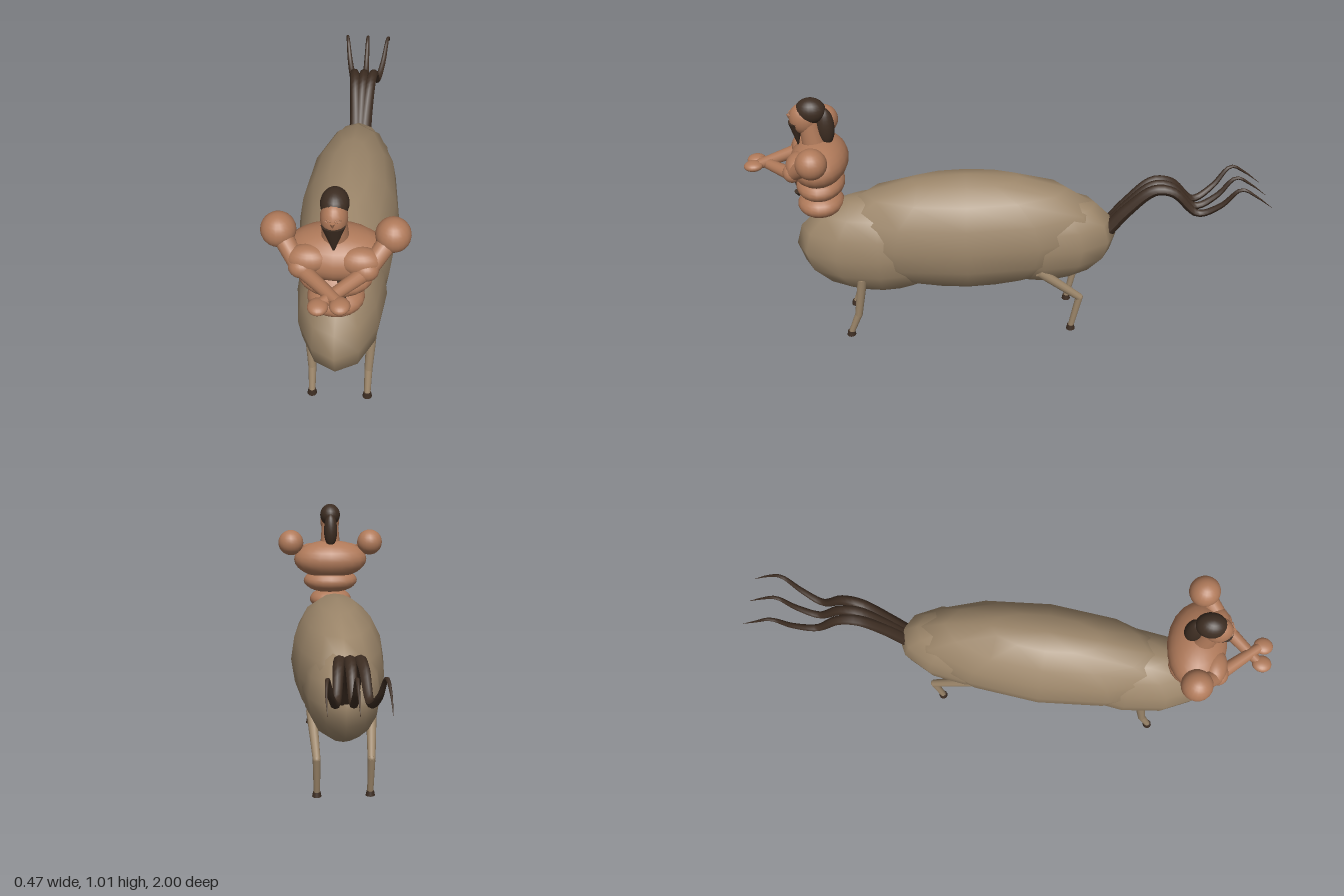
import * as THREE from 'three';

const mat = (name, color) => {
  const m = new THREE.MeshStandardMaterial({ color });
  m.name = name;
  return m;
};

export function createModel() {
  const root = new THREE.Group();
  root.name = 'centaur';
  const fur = mat('fur', 0x9c866a);
  const skin = mat('skin', 0xb07a5a);
  const dark = mat('darkHair', 0x3d2d22);
  const V = (a) => new THREE.Vector3(...a);

  const add = (name, geo, material, pos = [0, 0, 0]) => {
    const m = new THREE.Mesh(geo, material);
    m.name = name;
    m.position.set(...pos);
    root.add(m);
    return m;
  };
  const ball = (name, material, pos, size, w = 20, h = 14) =>
    add(name, new THREE.SphereGeometry(1, w, h).scale(...size), material, pos);
  // tapered rod from a to b
  const rod = (name, material, a, b, ra, rb, sides = 12) => {
    const p = V(a), q = V(b), d = q.clone().sub(p);
    const m = add(name, new THREE.CylinderGeometry(rb, ra, d.length(), sides), material);
    m.position.copy(p).add(q).multiplyScalar(0.5);
    m.quaternion.setFromUnitVectors(new THREE.Vector3(0, 1, 0), d.normalize());
    return m;
  };
  // downward pointing tuft
  const tuft = (name, pos, r, h, depth = 1, sides = 8) =>
    add(name, new THREE.ConeGeometry(r, h, sides).rotateX(Math.PI).scale(1, 1, depth), dark, pos);

  // Horse body
  ball('barrel', fur, [0, 0.435, 0.18], [0.19, 0.25, 0.56], 12, 8);
  ball('foreBody', fur, [0, 0.39, 0.52], [0.16, 0.217, 0.33], 12, 8);
  ball('hindBody', fur, [0, 0.4, -0.12], [0.152, 0.2, 0.292], 12, 8);

  // Human torso
  ball('waist', skin, [0, 0.58, 0.737], [0.095, 0.051, 0.088]);
  ball('midriff', skin, [0, 0.667, 0.73], [0.123, 0.055, 0.092]);
  ball('chest', skin, [0, 0.765, 0.725], [0.166, 0.086, 0.108]);

  for (const s of [-1, 1]) {
    // Legs
    rod('foreUpperLeg', fur, [s * 0.113, 0.285, 0.595], [s * 0.103, 0.1, 0.625], 0.019, 0.015);
    rod('foreLowerLeg', fur, [s * 0.103, 0.105, 0.624], [s * 0.102, 0.015, 0.66], 0.015, 0.012);
    add('foreHoof', new THREE.CylinderGeometry(0.014, 0.018, 0.02, 12), dark, [s * 0.102, 0.01, 0.662]);
    rod('hindThigh', fur, [s * 0.116, 0.3, -0.1], [s * 0.103, 0.16, -0.265], 0.021, 0.015);
    ball('hock', fur, [s * 0.103, 0.16, -0.265], [0.015, 0.015, 0.015], 12, 8);
    rod('hindLowerLeg', fur, [s * 0.103, 0.16, -0.265], [s * 0.102, 0.015, -0.235], 0.015, 0.012);
    add('hindHoof', new THREE.CylinderGeometry(0.014, 0.018, 0.02, 12), dark, [s * 0.102, 0.01, -0.234]);

    // Pectorals, shoulders and crossed arms
    ball('pectoral', skin, [s * 0.08, 0.785, 0.79], [0.07, 0.046, 0.046]);
    ball('shoulder', skin, [s * 0.18, 0.842, 0.725], [0.057, 0.057, 0.057]);
    rod('upperArm', skin, [s * 0.17, 0.83, 0.735], [s * 0.105, 0.765, 0.81], 0.032, 0.03, 16);
    ball('elbow', skin, [s * 0.1, 0.765, 0.81], [0.042, 0.036, 0.036]);
    rod('forearm', skin, [s * 0.095, 0.755, 0.815], [s * -0.025, 0.755 - s * 0.005, 0.95], 0.026, 0.018, 16);
    ball('hand', skin, [s * -0.033, 0.755 - s * 0.004, 0.965], [0.032, 0.019, 0.035]);

    // Eyes
    const lid = add('eyelid', new THREE.TorusGeometry(0.011, 0.0018, 6, 16).scale(1, 0.4, 1),
      skin, [s * 0.016, 0.957, 0.813]);
    lid.rotation.y = s * 0.35;
  }

  // Head
  rod('neck', skin, [0, 0.82, 0.735], [0, 0.93, 0.75], 0.046, 0.036, 16);
  ball('head', skin, [0, 0.935, 0.765], [0.043, 0.06, 0.053]);
  add('nose', new THREE.ConeGeometry(0.009, 0.022, 6).rotateX(Math.PI), skin, [0, 0.941, 0.817]);
  ball('hairCap', dark, [0, 0.966, 0.737], [0.045, 0.049, 0.056]);
  ball('backHair', dark, [0, 0.9, 0.69], [0.03, 0.075, 0.034]);
  tuft('beard', [0, 0.872, 0.796], 0.038, 0.106, 0.7, 16);

  // Chest hair
  tuft('chestHair', [-0.007, 0.656, 0.822], 0.017, 0.06, 0.8);
  tuft('chestHair', [0.02, 0.7, 0.815], 0.01, 0.035);
  tuft('chestHair', [-0.025, 0.624, 0.815], 0.014, 0.02).rotation.z = 0.3;
  tuft('chestHair', [0.024, 0.629, 0.815], 0.014, 0.03).rotation.z = -0.3;

  // Tail strands: tubes narrowed to a point
  const spine = [[0.43, -0.38, 0.016], [0.52, -0.45, 0.022], [0.612, -0.55, 0.034], [0.605, -0.62, 0.042],
    [0.517, -0.72, 0.055], [0.56, -0.8, 0.075], [0.64, -0.87, 0.09], [0.61, -0.93, 0.096], [0.56, -0.995, 0.096]];
  for (const s of [-1, 0, 1]) {
    const curve = new THREE.CatmullRomCurve3(spine.map(([y, z, x]) => V([s * x, y, z])));
    const segs = 40, sides = 8;
    const geo = new THREE.TubeGeometry(curve, segs, 0.03, sides);
    const p = geo.attributes.position, v = new THREE.Vector3();
    for (let i = 0; i <= segs; i++) {
      const c = curve.getPointAt(i / segs);
      const k = Math.max(0.01, 1 - i / segs) ** 0.85;
      for (let j = 0; j <= sides; j++) {
        const n = i * (sides + 1) + j;
        v.fromBufferAttribute(p, n).sub(c).multiplyScalar(k).add(c);
        p.setXYZ(n, v.x, v.y, v.z);
      }
    }
    geo.computeVertexNormals();
    add('tailStrand', geo, dark);
  }
  return root;
}
